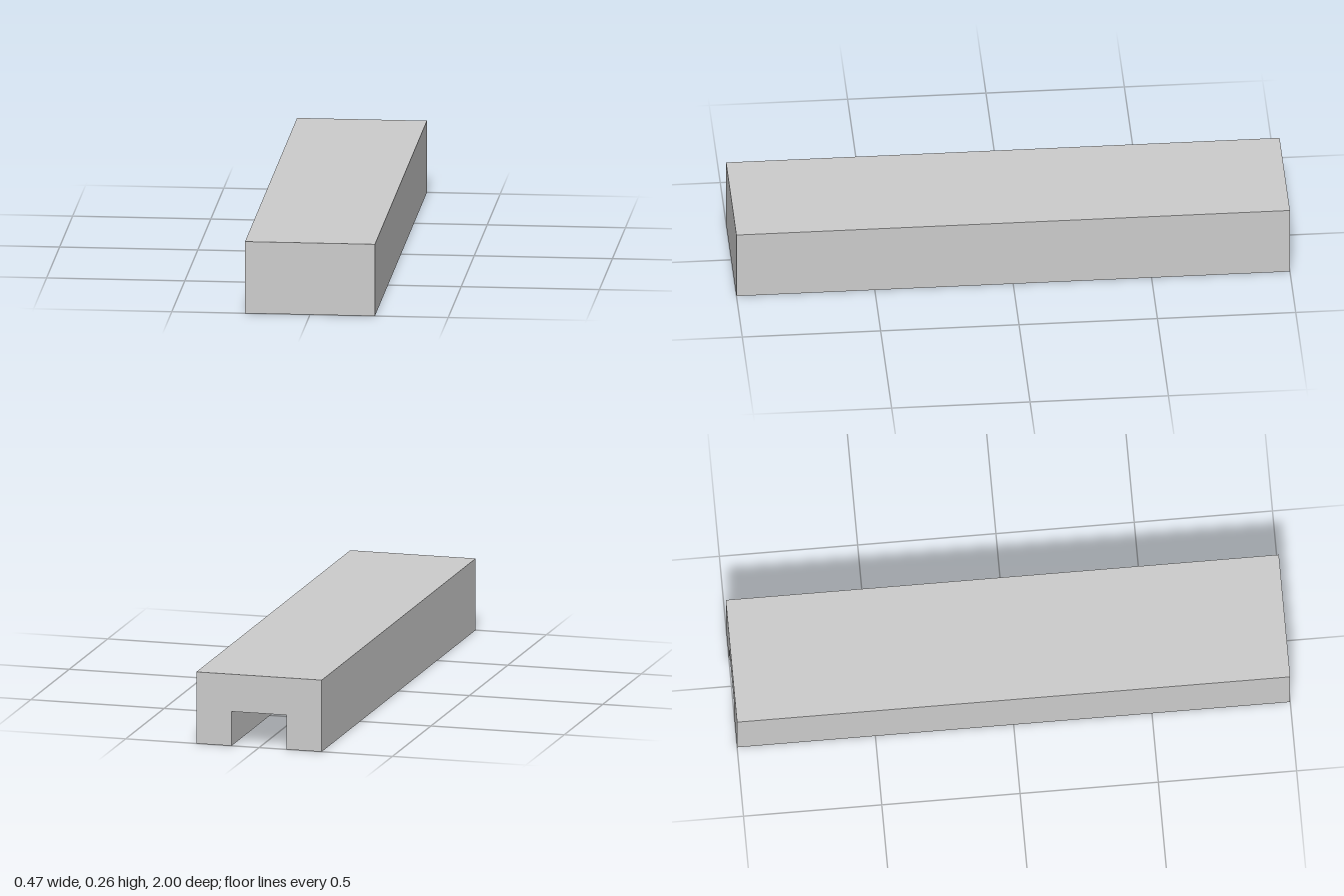
import * as THREE from 'three';

export function createModel() {
  const group = new THREE.Group();
  const material = new THREE.MeshStandardMaterial({ color: 0xcccccc });
  const halfWidth = 0.235, height = 0.265;
  const slotHalf = 0.103, slotHeight = 0.127;
  const back = -1, front = 1, slotEnd = 0.86;

  // Channel section, open underneath and at the back
  const profile = new THREE.Shape([
    [-halfWidth, 0], [-slotHalf, 0], [-slotHalf, slotHeight], [slotHalf, slotHeight],
    [slotHalf, 0], [halfWidth, 0], [halfWidth, height], [-halfWidth, height],
  ].map(([x, y]) => new THREE.Vector2(x, y)));
  const channel = new THREE.Mesh(
    new THREE.ExtrudeGeometry(profile, { depth: slotEnd - back, bevelEnabled: false }), material);
  channel.name = 'slottedBar';
  channel.position.z = back;
  group.add(channel);

  // Solid block closing the front of the slot
  const end = new THREE.Mesh(
    new THREE.BoxGeometry(halfWidth * 2, height, front - slotEnd), material);
  end.name = 'frontEndBlock';
  end.position.set(0, height / 2, (front + slotEnd) / 2);
  group.add(end);

  return group;
}
